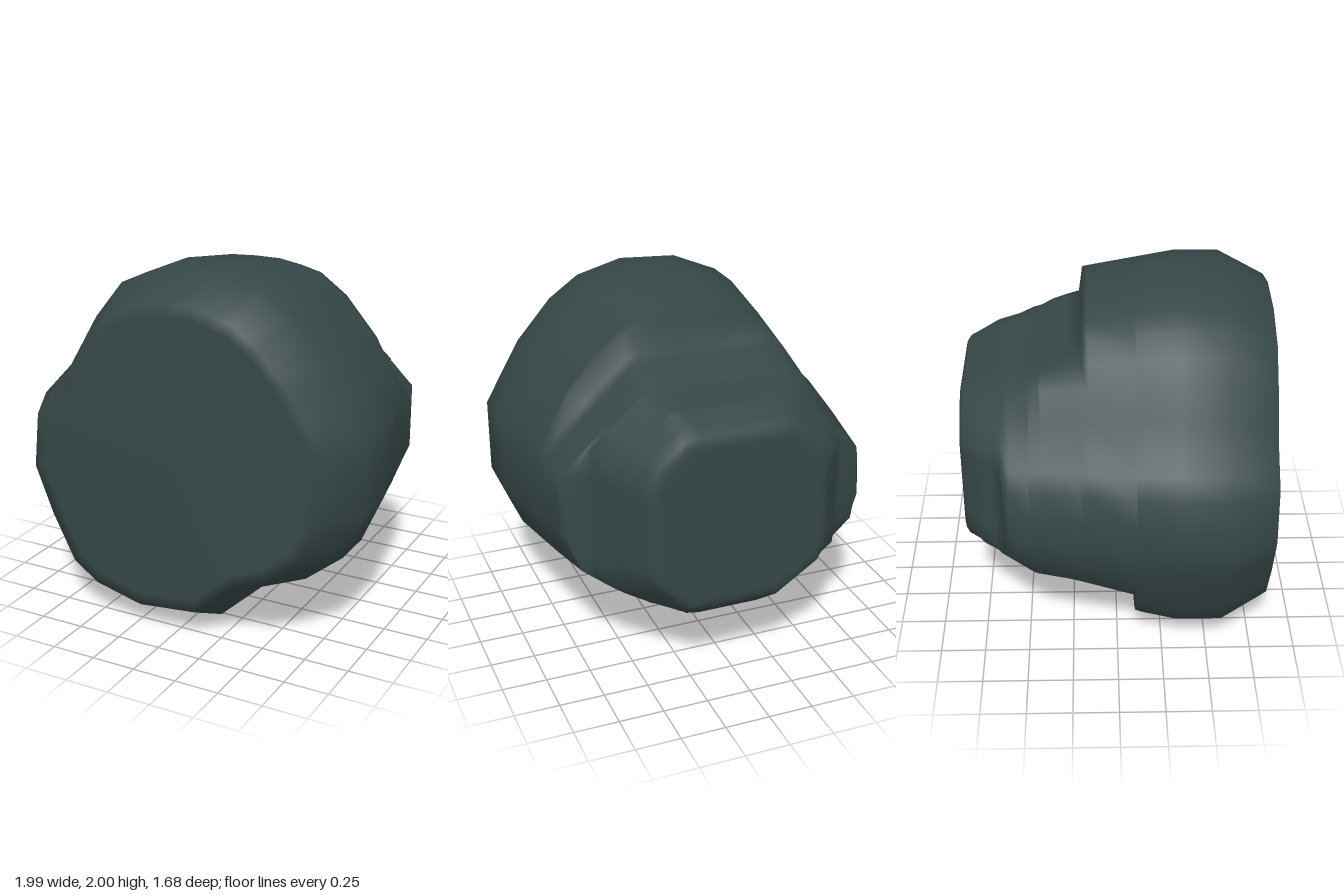
import * as THREE from 'three';

// Widest outline of the boulder around (0, 1), counter-clockwise seen from the front
const OUTLINE = [
  [0.99, -0.19], [0.99, 0.23], [0.79, 0.58], [0.59, 0.81], [0.42, 0.93], [0.16, 1.0], [-0.17, 0.98],
  [-0.43, 0.87], [-0.6, 0.66], [-0.78, 0.36], [-0.96, 0.17], [-1.0, -0.19], [-0.88, -0.5], [-0.73, -0.8],
  [-0.56, -0.92], [-0.24, -1.0], [0.16, -0.96], [0.41, -0.73], [0.67, -0.62], [0.88, -0.45],
];

// Overall taper: [z, scale], front to back
const TAPER = [[0.84, 0.865], [0.58, 1], [0.33, 1], [-0.15, 0.92], [-0.41, 0.87], [-0.57, 0.84], [-0.84, 0.74]];

// Broken-away ledges and slopes: direction in degrees, then [z, greatest distance that way]
const CUTS = [
  { angle: 90, limit: [[0.33, 1.0], [-0.15, 0.91], [-0.18, 0.88], [-0.2, 0.71], [-0.27, 0.68], [-0.35, 0.65], [-0.46, 0.6], [-0.66, 0.55], [-0.82, 0.47], [-0.84, 0.44]] },
  { angle: 270, limit: [[0.33, 1.0], [0.12, 0.96], [0.1, 0.93], [0.095, 0.84], [-0.27, 0.79], [-0.43, 0.725], [-0.63, 0.67], [-0.75, 0.6], [-0.82, 0.54], [-0.84, 0.5]] },
  { angle: 0, limit: [[0.33, 0.99], [-0.41, 0.86], [-0.44, 0.84], [-0.465, 0.7], [-0.82, 0.51], [-0.84, 0.48]] },
  { angle: 180, limit: [[0.33, 1.0], [0.16, 0.955], [-0.4, 0.87], [-0.57, 0.83], [-0.6, 0.8], [-0.62, 0.69], [-0.65, 0.64], [-0.73, 0.6], [-0.82, 0.51], [-0.84, 0.48]] },
  { angle: 48, limit: [[0.33, 1.02], [-0.18, 0.92], [-0.2, 0.78], [-0.46, 0.71], [-0.82, 0.55], [-0.84, 0.52]] },
  { angle: 132, limit: [[0.33, 1.02], [-0.2, 0.86], [-0.45, 0.76], [-0.82, 0.55], [-0.84, 0.52]] },
  { angle: 236, limit: [[0.33, 1.08], [0.1, 1.02], [0.095, 0.92], [-0.45, 0.78], [-0.82, 0.57], [-0.84, 0.54]] },
  { angle: 315, limit: [[0.33, 1.02], [-0.45, 0.83], [-0.82, 0.58], [-0.84, 0.55]] },
];

// Linear lookup in a list of [z, value] with falling z
function sample(list, z) {
  if (z >= list[0][0]) return list[0][1];
  for (let k = 1; k < list.length; k++) {
    const [z0, v0] = list[k - 1], [z1, v1] = list[k];
    if (z >= z1) return v0 + (v1 - v0) * (z0 - z) / (z0 - z1);
  }
  return list[list.length - 1][1];
}

// Cross-section at depth z: scaled outline pulled in to every cut
function section(z) {
  const s = sample(TAPER, z), pts = [];
  OUTLINE.forEach(([x0, y0], i) => {
    const [x1, y1] = OUTLINE[(i + 1) % OUTLINE.length];
    for (const t of [0, 0.5]) {
      const x = (x0 + (x1 - x0) * t) * s, y = (y0 + (y1 - y0) * t) * s;
      let f = 1;
      for (const { angle, limit } of CUTS) {
        if (z > limit[0][0]) continue;
        const a = THREE.MathUtils.degToRad(angle);
        const reach = x * Math.cos(a) + y * Math.sin(a);
        if (reach > 0) f = Math.min(f, sample(limit, z) / reach);
      }
      pts.push(new THREE.Vector3(x * f, 1 + y * f, z));
    }
  });
  return pts;
}

// Same ring pulled towards its middle, for the softly shaded rim of an end face
const shrink = (ring) => ring.map((p) => new THREE.Vector3(p.x * 0.92, 1 + (p.y - 1) * 0.92, p.z));

function makeGeometry(points, index) {
  const g = new THREE.BufferGeometry().setFromPoints(points);
  g.setIndex(index);
  g.computeVertexNormals();
  return g;
}

// Flat end face as a fan
function capGeometry(ring, facesFront) {
  const n = ring.length, index = [];
  for (let i = 0; i < n; i++) {
    const j = (i + 1) % n;
    index.push(n, facesFront ? i : j, facesFront ? j : i);
  }
  return makeGeometry([...ring, new THREE.Vector3(0, 1, ring[0].z)], index);
}

export function createModel() {
  const group = new THREE.Group();
  group.name = 'boulder';
  const material = new THREE.MeshStandardMaterial({ color: 0x364747 });
  const add = (name, geometry) => {
    const mesh = new THREE.Mesh(geometry, material);
    mesh.name = name;
    group.add(mesh);
  };

  // One ring at every depth where a slope or ledge changes, plus a rim on each end
  const depths = new Set(TAPER.map((p) => p[0]));
  CUTS.forEach((c) => c.limit.forEach((p) => depths.add(p[0])));
  const sections = [...depths].sort((a, b) => b - a).map(section);
  const rings = [shrink(sections[0]), ...sections, shrink(sections[sections.length - 1])];

  // Weathered sides
  const n = rings[0].length, index = [];
  for (let r = 0; r < rings.length - 1; r++) {
    for (let i = 0; i < n; i++) {
      const a = r * n + i, b = r * n + (i + 1) % n;
      index.push(a, a + n, b, b, a + n, b + n);
    }
  }
  add('rockSides', makeGeometry(rings.flat(), index));

  // Flat front and back
  add('frontFace', capGeometry(rings[0], true));
  add('backFace', capGeometry(rings[rings.length - 1], false));
  return group;
}
